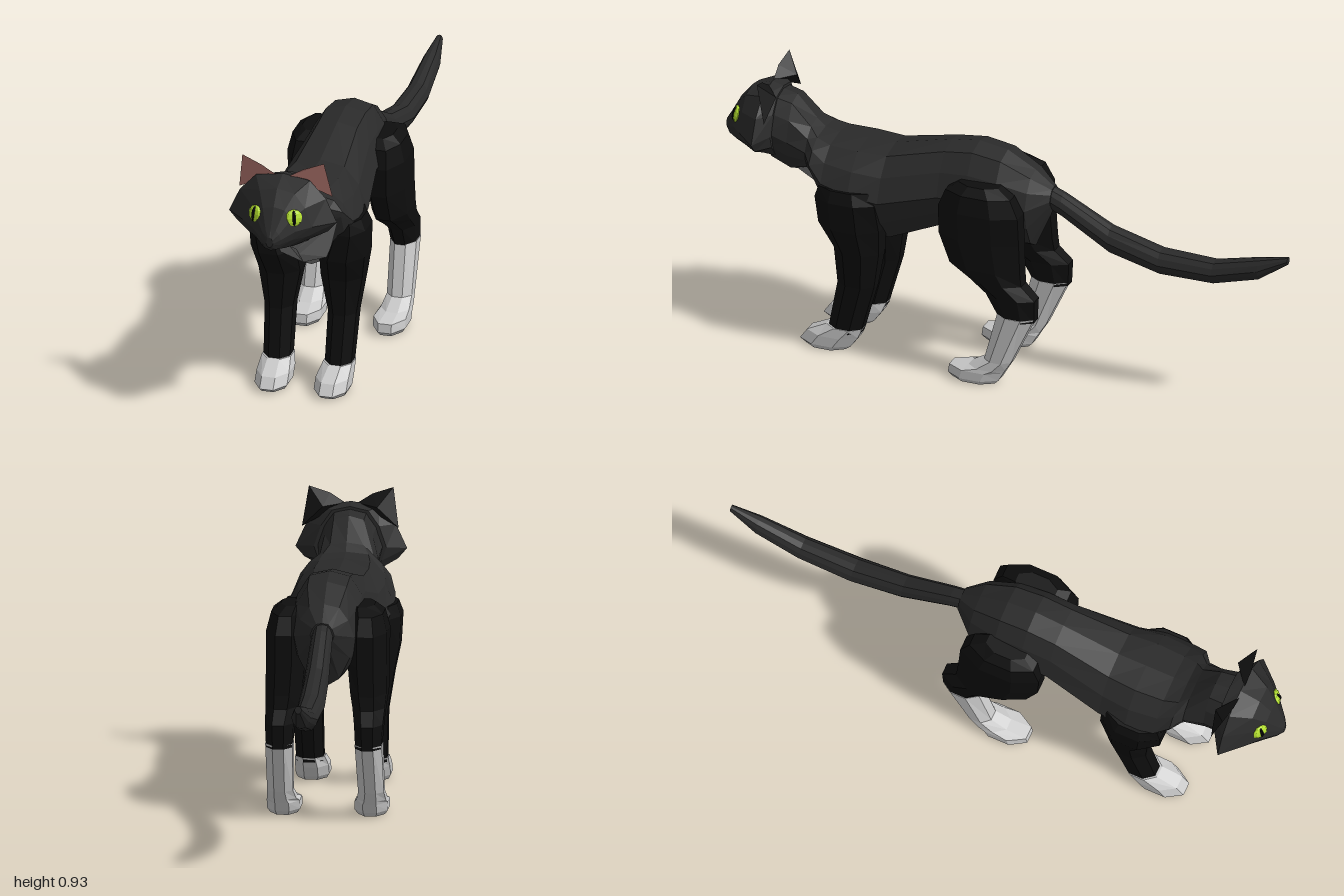
import * as THREE from 'three';

const mat = (color, side = THREE.FrontSide) =>
  new THREE.MeshStandardMaterial({ color, side, flatShading: true });
const FUR = mat(0x2a2a2a), LEG = mat(0x0e0e0e), BELLY = mat(0x7c7c7c), SOCK = mat(0xcccccc);
const LIME = mat(0xb4e030), BLACK = mat(0x080808);
const EAR_BACK = mat(0x141414, THREE.DoubleSide), EAR_PINK = mat(0xb87a72, THREE.DoubleSide);

function add(group, name, geometry, material) {
  const mesh = new THREE.Mesh(geometry, material);
  mesh.name = name;
  group.add(mesh);
  return mesh;
}

function fromTriangles(points) {
  const g = new THREE.BufferGeometry().setFromPoints(points);
  g.computeVertexNormals();
  return g;
}

// Skin over a row of rings; keep(k, i) selects which side panels are made
function loft(rings, keep = () => true, caps = true) {
  const tri = [], n = rings[0].length;
  for (let k = 0; k < rings.length - 1; k++) {
    const a = rings[k], b = rings[k + 1];
    for (let i = 0; i < n; i++) {
      if (!keep(k, i)) continue;
      const j = (i + 1) % n;
      tri.push(a[i], b[i], b[j], a[i], b[j], a[j]);
    }
  }
  if (caps) {
    const s = rings[0], e = rings[rings.length - 1];
    for (let i = 1; i < n - 1; i++) tri.push(s[0], s[i], s[i + 1], e[0], e[i + 1], e[i]);
  }
  return fromTriangles(tri);
}

// Twelve-point body section: height of top, bottom and widest point, and edge of the pale underside
function bodyRing([z, top, bot, w, mid, uw, uy]) {
  const half = [
    [0, top], [w * 0.5, mid + (top - mid) * 0.9], [w * 0.8, mid + (top - mid) * 0.52], [w, mid],
    [uw + (w - uw) * 0.7, mid + (uy - mid) * 0.5], [uw, uy], [0, bot],
  ];
  const mirrored = half.slice(1, 6).reverse().map(([x, y]) => [-x, y]);
  return [...half, ...mirrored].map(([x, y]) => new THREE.Vector3(x, y, z));
}

// Octagonal leg section within given z and x limits
function legRing([y, z0, z1, x0, x1], side) {
  return Array.from({ length: 8 }, (_, i) => {
    const a = (i + 0.5) * Math.PI / 4, r = 0.5 / Math.cos(Math.PI / 8);
    return new THREE.Vector3(
      side * (x0 + x1) / 2 + Math.cos(a) * r * (x1 - x0), y,
      (z0 + z1) / 2 + Math.sin(a) * r * (z1 - z0));
  });
}

const TRUNK = [
  [-0.165, 0.68, 0.60, 0.04, 0.64, 0.02, 0.605],
  [-0.10, 0.73, 0.45, 0.10, 0.62, 0.05, 0.48],
  [0, 0.785, 0.45, 0.13, 0.62, 0.06, 0.48],
  [0.10, 0.80, 0.47, 0.135, 0.63, 0.06, 0.49],
  [0.20, 0.785, 0.485, 0.135, 0.63, 0.06, 0.50],
  [0.40, 0.735, 0.395, 0.165, 0.58, 0.06, 0.41],
  [0.50, 0.735, 0.40, 0.18, 0.60, 0.08, 0.44],
  [0.60, 0.735, 0.45, 0.17, 0.62, 0.085, 0.48],
  [0.65, 0.745, 0.50, 0.15, 0.67, 0.13, 0.635],
  [0.68, 0.77, 0.53, 0.11, 0.69, 0.09, 0.63],
  [0.75, 0.845, 0.57, 0.10, 0.71, 0.06, 0.60],
  [0.82, 0.86, 0.61, 0.11, 0.74, 0.06, 0.63],
];
const HEAD = [
  [0.80, 0.865, 0.61, 0.12, 0.73, 0.07, 0.64],
  [0.84, 0.875, 0.615, 0.185, 0.72, 0.085, 0.65],
  [0.91, 0.85, 0.635, 0.12, 0.725, 0.06, 0.652],
  [0.95, 0.80, 0.645, 0.075, 0.72, 0.04, 0.658],
  [0.985, 0.735, 0.658, 0.035, 0.70, 0.02, 0.665],
  [1.0, 0.71, 0.675, 0.012, 0.69, 0.006, 0.678],
];
// Tail stations: z, centre height, half width, half height
const TAIL = [
  [-1, 0.568, 0.012, 0.013], [-0.9, 0.522, 0.032, 0.038], [-0.74, 0.48, 0.041, 0.04],
  [-0.55, 0.482, 0.045, 0.043], [-0.37, 0.528, 0.041, 0.046], [-0.2, 0.622, 0.036, 0.04],
  [-0.12, 0.655, 0.034, 0.038],
];
const FRONT_LEG = [
  [0.07, 0.475, 0.59, 0.06, 0.15], [0.25, 0.425, 0.555, 0.06, 0.157], [0.38, 0.405, 0.565, 0.035, 0.178],
  [0.47, 0.40, 0.615, 0.04, 0.195], [0.57, 0.41, 0.622, 0.08, 0.20], [0.61, 0.43, 0.61, 0.10, 0.185],
];
const FRONT_PAW = [
  [0, 0.53, 0.67, 0.055, 0.15], [0.015, 0.51, 0.69, 0.046, 0.157],
  [0.05, 0.485, 0.665, 0.046, 0.157], [0.085, 0.47, 0.595, 0.056, 0.154],
];
const HIND_LEG = [
  [0.25, -0.16, -0.035, 0.105, 0.19], [0.33, -0.163, 0.01, 0.10, 0.195], [0.375, -0.115, 0.07, 0.09, 0.197],
  [0.42, -0.11, 0.14, 0.08, 0.20], [0.52, -0.105, 0.18, 0.07, 0.20], [0.62, -0.10, 0.183, 0.07, 0.20],
  [0.68, -0.07, 0.16, 0.08, 0.185], [0.705, -0.02, 0.12, 0.08, 0.155],
];
const HIND_FOOT = [
  [0, -0.02, 0.13, 0.10, 0.19], [0.015, -0.035, 0.145, 0.09, 0.20], [0.045, -0.052, 0.14, 0.09, 0.20],
  [0.058, -0.06, 0.07, 0.10, 0.197], [0.09, -0.08, 0.015, 0.108, 0.193], [0.262, -0.16, -0.03, 0.103, 0.193],
];

function addEar(group, side) {
  const p = (x, y, z) => new THREE.Vector3(side * x, y, z);
  const inner = p(0.02, 0.868, 0.845), mid = p(0.07, 0.90, 0.848), tip = p(0.14, 0.925, 0.838);
  const outer = p(0.16, 0.795, 0.805), back = p(0.09, 0.865, 0.79);
  const name = side > 0 ? 'left' : 'right';
  add(group, name + 'EarInside', fromTriangles([inner, outer, tip, inner, tip, mid]), EAR_PINK);
  add(group, name + 'EarBack', fromTriangles([
    inner, mid, back, mid, tip, back, tip, outer, back, outer, inner, back]), EAR_BACK);
}

function addEye(group, side) {
  const eye = new THREE.Group();
  eye.name = side > 0 ? 'leftEye' : 'rightEye';
  add(eye, 'iris', new THREE.SphereGeometry(0.029, 8, 6), LIME).scale.set(1, 1, 0.4);
  const pupil = add(eye, 'pupil', new THREE.SphereGeometry(0.026, 8, 6), BLACK);
  pupil.scale.set(0.3, 1, 0.4);
  pupil.position.z = 0.005;
  eye.position.set(side * 0.066, 0.765, 0.941);
  eye.rotation.set(-0.2, side * 0.5, 0, 'YXZ');
  group.add(eye);
}

export function createModel() {
  const cat = new THREE.Group();
  cat.name = 'cat';

  // Trunk and neck with pale belly and throat
  const trunk = TRUNK.map(bodyRing);
  const pale = (k, i) => k >= 2 && (i === 5 || i === 6);
  add(cat, 'trunk', loft(trunk, (k, i) => !pale(k, i)), FUR);
  add(cat, 'belly', loft(trunk, pale, false), BELLY);

  // Head with pale chin
  const head = HEAD.map(bodyRing);
  const chin = (k, i) => k < 4 && (i === 5 || i === 6);
  add(cat, 'head', loft(head, (k, i) => !chin(k, i)), FUR);
  add(cat, 'chin', loft(head, chin, false), BELLY);
  const nose = add(cat, 'nose', new THREE.SphereGeometry(0.012, 8, 4), BLACK);
  nose.position.set(0, 0.706, 0.987);

  // Tail
  const tail = TAIL.map(([z, y, w, h]) =>
    bodyRing([z, y + h, y - h, w, y, w * 0.5, y - h * 0.9]));
  add(cat, 'tail', loft(tail), FUR);

  // Paired parts
  for (const side of [1, -1]) {
    const name = side > 0 ? 'left' : 'right';
    const limb = (part, rings, material) =>
      add(cat, name + part, loft(rings.map(r => legRing(r, side))), material);
    limb('FrontLeg', FRONT_LEG, LEG);
    limb('FrontPaw', FRONT_PAW, SOCK);
    limb('HindLeg', HIND_LEG, LEG);
    limb('HindFoot', HIND_FOOT, SOCK);
    addEar(cat, side);
    addEye(cat, side);
  }
  return cat;
}
